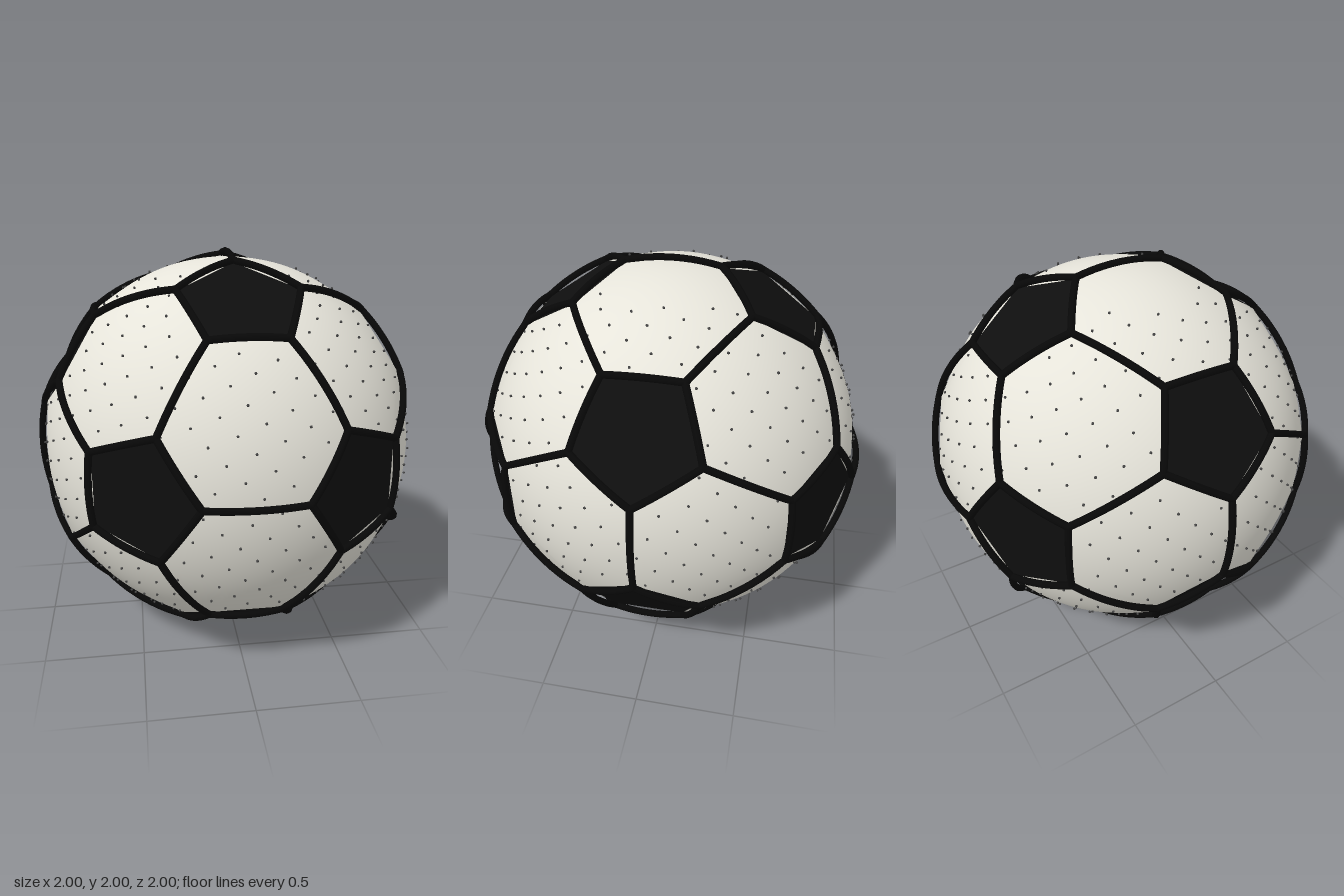
import * as THREE from 'three';
import { mergeGeometries } from 'three/addons/utils/BufferGeometryUtils.js';

const PHI = (1 + Math.sqrt(5)) / 2;
const CUT = 0.303;        // where each icosahedron edge is cut to make the corners
const PANEL_R = 0.972;    // distance of panel corners from the centre
const SEAM_R = 0.982;     // distance of seam centre lines
const SEAM_W = 0.017;     // seam tube radius
const DOT_R = 0.963;

const flat = (name, color, side = THREE.FrontSide) => {
  const m = new THREE.MeshStandardMaterial({ color, side });
  m.name = name;
  return m;
};

// Sort points counter-clockwise as seen from outside along axis n
function sortAround(points, n) {
  const u = points[0].clone().projectOnPlane(n).normalize();
  const v = n.clone().cross(u);
  const angle = (p) => Math.atan2(p.dot(v), p.dot(u));
  return [...points].sort((a, b) => angle(a) - angle(b));
}

// Polygon panel with straight edges, swelling by `height` at its middle
function panelGeometry(corners, height, rings, perSide) {
  const count = corners.length;
  const centre = corners.reduce((s, c) => s.add(c), new THREE.Vector3()).divideScalar(count);
  const n = centre.clone().normalize();
  const sides = corners.map((c, i) => {
    const d = corners[(i + 1) % count];
    const out = d.clone().sub(c).cross(n).normalize();
    return { out, reach: c.clone().sub(centre).dot(out) };
  });
  const place = (p) => {
    const rel = p.clone().sub(centre);
    const k = sides.reduce((s, e) => s * Math.max(0, 1 - rel.dot(e.out) / e.reach), 1);
    return p.clone().addScaledVector(n, height * Math.pow(k, 0.65));
  };

  const around = count * perSide;
  const points = [place(centre)];
  const index = [];
  for (let r = 1; r <= rings; r++) {
    for (let i = 0; i < around; i++) {
      const s = Math.floor(i / perSide);
      const rim = corners[s].clone().lerp(corners[(s + 1) % count], (i % perSide) / perSide);
      points.push(place(centre.clone().lerp(rim, r / rings)));
      const j = (i + 1) % around;
      const a = 1 + (r - 1) * around;
      const b = a - around;
      if (r === 1) index.push(0, a + i, a + j);
      else index.push(b + i, a + i, a + j, b + i, a + j, b + j);
    }
  }
  const g = new THREE.BufferGeometry().setFromPoints(points);
  g.setIndex(index);
  // domed panels shade like one ball, flat panels like a plate
  const normals = points.flatMap((p) => (height > 0 ? p.clone().normalize() : n).toArray());
  g.setAttribute('normal', new THREE.Float32BufferAttribute(normals, 3));
  return g;
}

// Round seam following the ball from corner a to corner b
function seamGeometry(a, b) {
  const path = [];
  for (let i = 0; i <= 6; i++) path.push(a.clone().lerp(b, i / 6).setLength(SEAM_R));
  return new THREE.TubeGeometry(new THREE.CatmullRomCurve3(path), 10, SEAM_W, 8, false);
}

export function createModel() {
  const ball = new THREE.Group();
  ball.name = 'ball';
  const white = flat('warm white', 0xe6e4da, THREE.DoubleSide);
  const black = flat('panel black', 0x0e0e0e, THREE.DoubleSide);
  const seamBlack = flat('seam black', 0x080808);
  const grey = flat('dimple grey', 0x444444);
  const add = (name, geometry, material) => {
    const mesh = new THREE.Mesh(geometry, material);
    mesh.name = name;
    mesh.position.y = 1;
    ball.add(mesh);
  };

  // Icosahedron corners: one black panel sits at each
  const hubs = [];
  for (const s of [1, -1]) for (const t of [1, -1]) {
    hubs.push(new THREE.Vector3(s, 0, t * PHI));
    hubs.push(new THREE.Vector3(t * PHI, s, 0));
    hubs.push(new THREE.Vector3(0, t * PHI, s));
  }
  const near = (i, j) => i !== j && hubs[i].distanceTo(hubs[j]) < 2.1;
  const corner = (i, j) => hubs[i].clone().lerp(hubs[j], CUT).setLength(PANEL_R);

  const pentagons = [], hexagons = [], seams = [];
  for (let i = 0; i < 12; i++) {
    const ring = [];
    for (let j = 0; j < 12; j++) {
      if (!near(i, j)) continue;
      ring.push(corner(i, j));
      // seam between two white panels
      if (i < j) seams.push(seamGeometry(corner(i, j), corner(j, i)));
      // white panel between three black ones
      for (let k = j + 1; k < 12; k++) {
        if (i > j || !near(j, k) || !near(i, k)) continue;
        const six = [[i, j], [j, i], [j, k], [k, j], [k, i], [i, k]].map(([a, b]) => corner(a, b));
        const axis = hubs[i].clone().add(hubs[j]).add(hubs[k]).normalize();
        hexagons.push(panelGeometry(sortAround(six, axis), 0.073, 10, 5));
      }
    }
    // black panel, its border seams and rounded seam joints
    const five = sortAround(ring, hubs[i].clone().normalize());
    pentagons.push(panelGeometry(five, 0, 1, 1));
    five.forEach((c, k) => {
      seams.push(seamGeometry(c, five[(k + 1) % 5]));
      const p = c.clone().setLength(SEAM_R);
      seams.push(new THREE.SphereGeometry(SEAM_W, 8, 6).translate(p.x, p.y, p.z));
    });
  }

  // Fine dimples spiralling over the white panels
  const dots = [];
  const total = 900;
  for (let i = 0; i < total; i++) {
    const y = 1 - (2 * (i + 0.5)) / total;
    if (Math.abs(y) > 0.93) continue;
    const r = Math.sqrt(1 - y * y);
    const a = i * Math.PI * (3 - Math.sqrt(5));
    const p = new THREE.Vector3(r * Math.cos(a), y, r * Math.sin(a));
    if (hubs.some((h) => h.angleTo(p) < 0.31)) continue;
    p.multiplyScalar(DOT_R);
    dots.push(new THREE.IcosahedronGeometry(0.007, 0).translate(p.x, p.y, p.z));
  }

  add('whitePanels', mergeGeometries(hexagons), white);
  add('blackPanels', mergeGeometries(pentagons), black);
  add('seams', mergeGeometries(seams), seamBlack);
  add('dimples', mergeGeometries(dots), grey);
  return ball;
}
